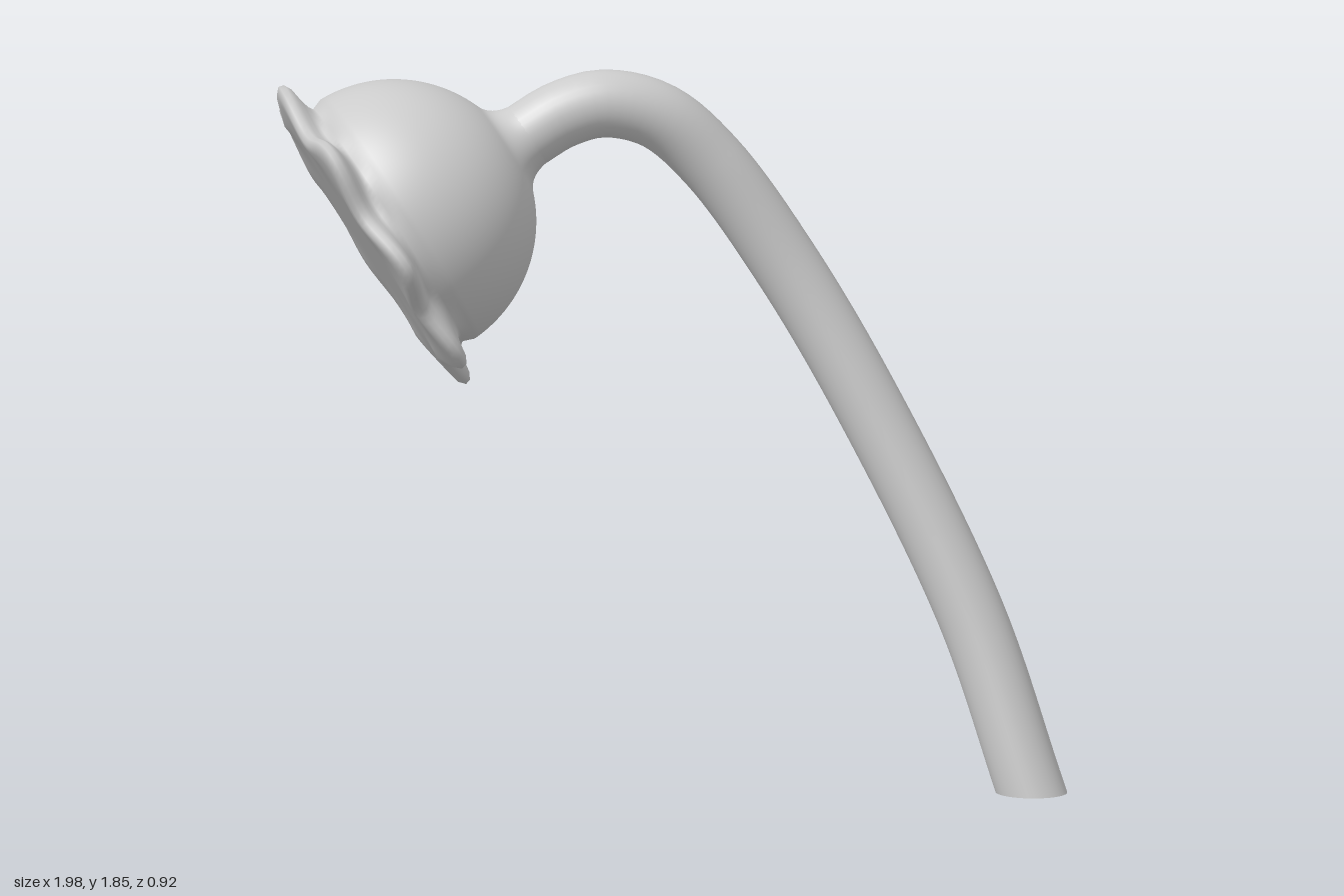
import * as THREE from 'three';
import { mergeVertices } from 'three/addons/utils/BufferGeometryUtils.js';

const material = new THREE.MeshStandardMaterial({ color: 0xcccccc });
const AXIS = new THREE.Vector3(0.852, 0.523, 0).normalize(); // from the mouth towards the stem
const CENTRE = new THREE.Vector3(-0.685, 1.475, 0);
const STEM_R = 0.087;

// Bell-shaped bloom: lathed ball with a flat mouth, an eight-lobed rim and a flared neck
function makeBloom() {
  const rim = [
    [0, -0.093], [0.15, -0.093], [0.28, -0.093], [0.34, -0.095], [0.385, -0.094],
    [0.41, -0.088], [0.424, -0.074], [0.421, -0.06], [0.405, -0.05], [0.38, -0.043],
    [0.36, -0.034], [0.353, -0.018],
  ].map(([r, y]) => new THREE.Vector2(r, y));
  const ball = [];
  for (let i = 0; i <= 28; i++) {
    const a = THREE.MathUtils.lerp(0.03, 1.19, i / 28);
    ball.push(new THREE.Vector2(0.364 * Math.cos(a), 0.364 * Math.sin(a)));
  }
  // fillet running from the ball into the stem
  const neck = new THREE.QuadraticBezierCurve(
    ball[ball.length - 1], new THREE.Vector2(0.09, 0.353), new THREE.Vector2(STEM_R - 0.002, 0.42),
  ).getPoints(8).slice(1);

  let geo = new THREE.LatheGeometry([...rim, ...ball, ...neck], 128);
  const p = geo.attributes.position;
  for (let i = 0; i < p.count; i++) {
    const x = p.getX(i), y = p.getY(i), z = p.getZ(i);
    if (y > -0.03) continue;
    const lobe = Math.cos(8 * Math.atan2(z, x));
    const w = THREE.MathUtils.smoothstep(Math.hypot(x, z), 0.3, 0.42);
    const s = 1 + 0.09 * lobe * w;
    p.setXYZ(i, x * s, y + 0.008 * lobe * w, z * s);
  }
  geo.deleteAttribute('uv');
  geo.deleteAttribute('normal');
  geo = mergeVertices(geo, 1e-5);
  geo.computeVertexNormals();
  const bloom = new THREE.Mesh(geo, material);
  bloom.name = 'bloom';
  bloom.position.copy(CENTRE);
  bloom.quaternion.setFromUnitVectors(new THREE.Vector3(0, 1, 0), AXIS);
  return bloom;
}

// Arching stem, cut level at the ground
function makeStem() {
  const curve = new THREE.CatmullRomCurve3([
    [-0.42, 1.638, 0], [-0.34, 1.687, 0], [-0.25, 1.738, 0], [-0.14, 1.763, 0], [0, 1.727, 0],
    [0.14, 1.603, -0.002], [0.33, 1.333, 0.022], [0.525, 0.985, 0.095],
    [0.77, 0.45, 0.235], [0.907, 0, 0.354],
  ].map((a) => new THREE.Vector3(...a)), false, 'centripetal');
  const SEG = 80, SIDES = 32;
  const geo = new THREE.TubeGeometry(curve, SEG, STEM_R, SIDES, false);
  const p = geo.attributes.position;
  const t = curve.getTangentAt(1);
  const foot = [];
  // slide the last ring along the stem until it lies on the ground
  for (let i = SEG * (SIDES + 1); i < p.count; i++) {
    const v = new THREE.Vector3().fromBufferAttribute(p, i);
    v.addScaledVector(t, -v.y / t.y);
    p.setXYZ(i, v.x, v.y, v.z);
    foot.push(new THREE.Vector2(v.x, v.z));
  }
  const stem = new THREE.Mesh(geo, material);
  stem.name = 'stem';

  const capGeo = new THREE.ShapeGeometry(new THREE.Shape(foot.slice(0, SIDES)));
  capGeo.rotateX(Math.PI / 2); // shape y becomes z, face looks down
  const cap = new THREE.Mesh(capGeo, material);
  cap.name = 'stemCutEnd';
  return [stem, cap];
}

export function createModel() {
  const group = new THREE.Group();
  group.name = 'flower';
  group.add(makeBloom(), ...makeStem());
  return group;
}
